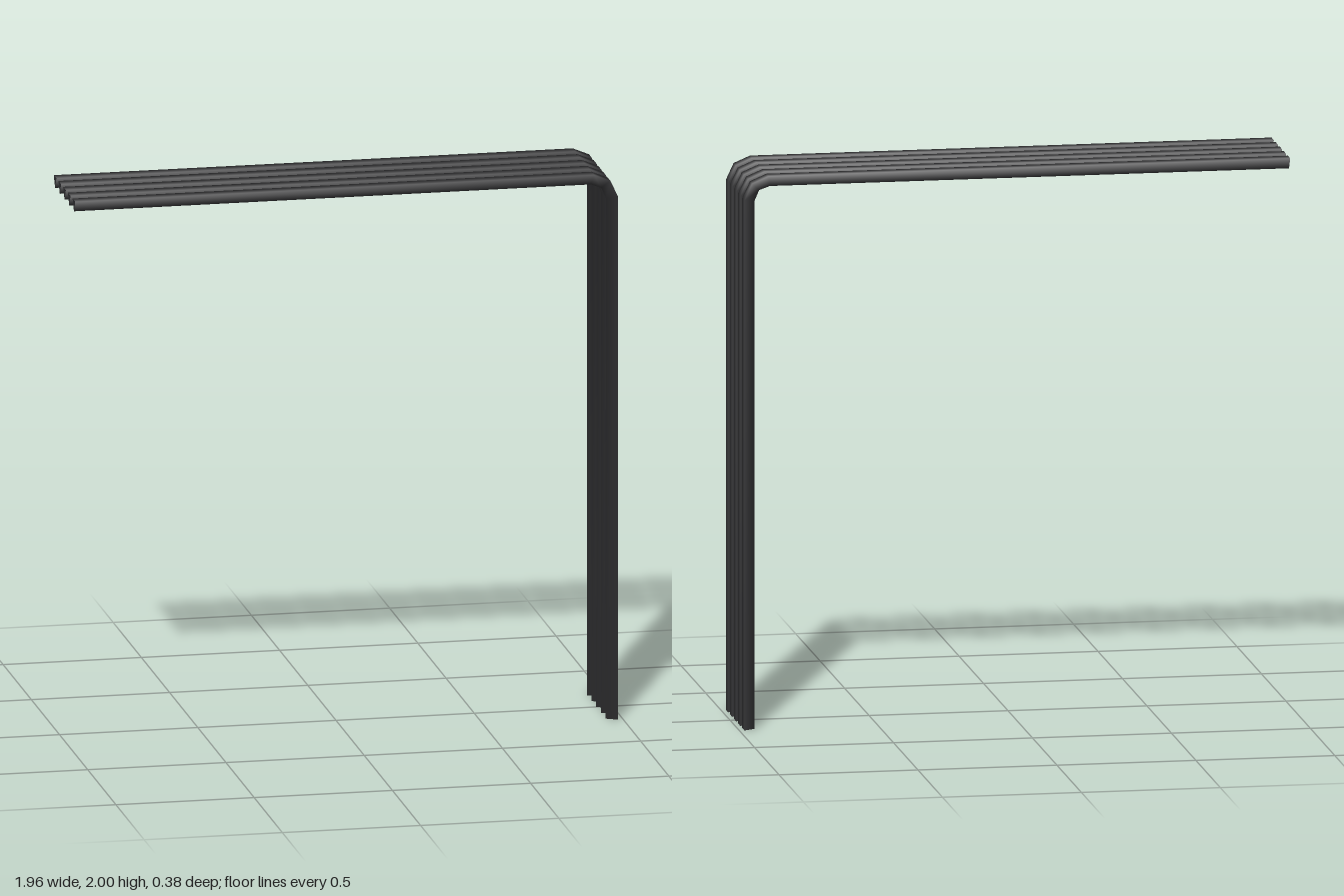
import * as THREE from 'three';

// Three-sided section: flat side facing out, one edge facing in
const RADIUS = 0.0272;
const SECTION = [Math.PI / 3, -Math.PI / 3, Math.PI];
const SIDES = SECTION.length;

// Line of the outer face of a bar: x, y and the angle of its outward normal
const PATH = [
  [-0.982, 2, Math.PI / 2],
  [0.895, 2, Math.PI * 0.44],
  [0.954, 1.975, Math.PI / 4],
  [0.982, 1.915, Math.PI * 0.06],
  [0.982, 0, 0],
];

// Sweeps the section along the path with softly shaded sides and flat ends
function barGeometry() {
  const positions = [];
  const normals = [];
  const index = [];

  const addRing = ([x, y, angle], capNormal) => {
    const start = positions.length / 3;
    const nx = Math.cos(angle), ny = Math.sin(angle);
    for (const t of SECTION) {
      const out = Math.cos(t), across = Math.sin(t);
      const depth = (out - 0.5) * RADIUS;
      positions.push(x + nx * depth, y + ny * depth, across * RADIUS);
      normals.push(...(capNormal ?? [nx * out, ny * out, across]));
    }
    return start;
  };

  // Sides
  const rings = PATH.map((point) => addRing(point));
  for (let r = 0; r < rings.length - 1; r++) {
    for (let i = 0; i < SIDES; i++) {
      const j = (i + 1) % SIDES;
      const a = rings[r] + i, b = rings[r] + j;
      const c = rings[r + 1] + i, d = rings[r + 1] + j;
      index.push(a, b, c, b, d, c);
    }
  }

  // The section runs from +z to -z over the outer face, so flip to face outwards
  for (let k = 0; k < index.length; k += 3) {
    [index[k + 1], index[k + 2]] = [index[k + 2], index[k + 1]];
  }

  // End caps
  const first = addRing(PATH[0], [-1, 0, 0]);
  const last = addRing(PATH[PATH.length - 1], [0, -1, 0]);
  index.push(first, first + 1, first + 2, last, last + 2, last + 1);

  const geometry = new THREE.BufferGeometry();
  geometry.setAttribute('position', new THREE.Float32BufferAttribute(positions, 3));
  geometry.setAttribute('normal', new THREE.Float32BufferAttribute(normals, 3));
  geometry.setIndex(index);
  return geometry;
}

export function createModel() {
  const model = new THREE.Group();
  model.name = 'bentBars';

  const darkMetal = new THREE.MeshStandardMaterial({ color: 0x303032 });
  darkMetal.name = 'darkMetal';

  // Five parallel bars, evenly spaced from back to front
  const geometry = barGeometry();
  for (let i = 0; i < 5; i++) {
    const bar = new THREE.Mesh(geometry, darkMetal);
    bar.name = `bar${i + 1}`;
    bar.position.z = (i - 2) * 0.0835;
    model.add(bar);
  }
  return model;
}
